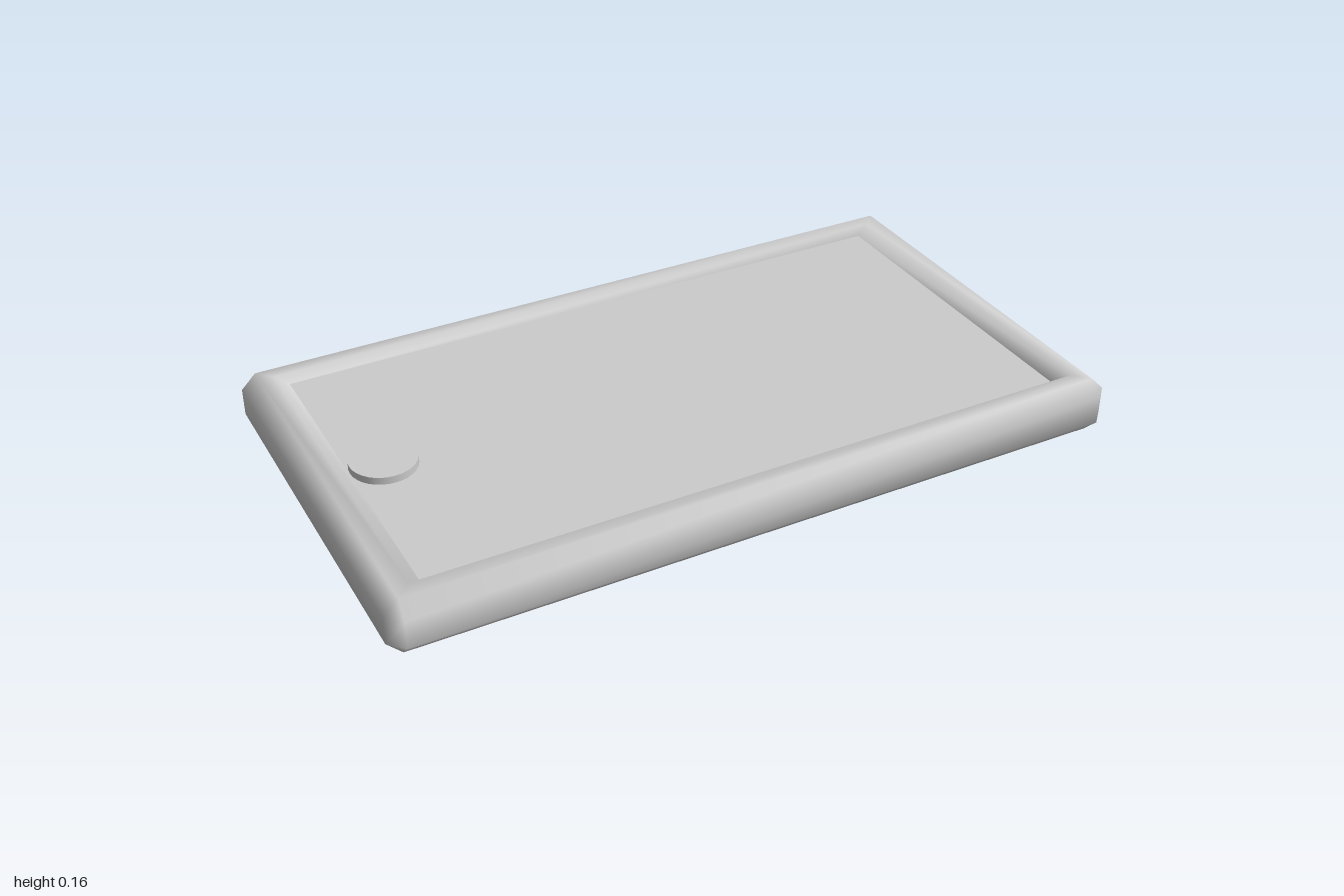
import * as THREE from 'three';
import { mergeVertices } from 'three/addons/utils/BufferGeometryUtils.js';

const material = new THREE.MeshStandardMaterial({ color: 0xcccccc });
const FLOOR_Y = 0.128;

// Rectangle with cut corners, counter-clockwise from above
function loop({ x, z, y, cut }) {
  const a = x - cut, b = z - cut;
  return [[x, -b], [a, -z], [-a, -z], [-x, -b], [-x, b], [-a, z], [a, z], [x, b]]
    .map(([px, pz]) => [px, y, pz]);
}

// Skins the loops in order and closes the first with a flat cap
function loft(sections) {
  const loops = sections.map(loop);
  const n = loops[0].length;
  const index = [];
  for (let i = 0; i < loops.length - 1; i++) {
    for (let j = 0; j < n; j++) {
      const k = (j + 1) % n;
      const a = i * n + j, b = i * n + k, c = b + n, d = a + n;
      index.push(a, b, c, a, c, d);
    }
  }
  for (let j = 1; j < n - 1; j++) index.push(0, j + 1, j);
  let geometry = new THREE.BufferGeometry();
  geometry.setAttribute('position', new THREE.Float32BufferAttribute(loops.flat(2), 3));
  geometry.setIndex(index);
  geometry = mergeVertices(geometry);
  geometry.computeVertexNormals();
  return geometry;
}

function addPart(group, name, geometry, x = 0, y = 0, z = 0) {
  const mesh = new THREE.Mesh(geometry, material);
  mesh.name = name;
  mesh.position.set(x, y, z);
  group.add(mesh);
}

export function createModel() {
  const group = new THREE.Group();
  group.name = 'tablet';

  // Bevelled case with a raised rim sloping in to the screen
  addPart(group, 'case', loft([
    { x: 0.96, z: 0.525, y: 0, cut: 0 },
    { x: 1, z: 0.563, y: 0.04, cut: 0.038 },
    { x: 1, z: 0.563, y: 0.115, cut: 0.038 },
    { x: 0.96, z: 0.525, y: 0.155, cut: 0 },
    { x: 0.92, z: 0.485, y: 0.155, cut: 0 },
    { x: 0.885, z: 0.474, y: FLOOR_Y, cut: 0 },
  ]));

  // Recessed flat screen
  const screen = new THREE.PlaneGeometry(1.77, 0.948).rotateX(-Math.PI / 2);
  addPart(group, 'screen', screen, 0, FLOOR_Y, 0);

  // Round button near the left end of the screen
  const button = new THREE.CylinderGeometry(0.087, 0.087, 0.02, 32);
  addPart(group, 'button', button, -0.796, FLOOR_Y + 0.01, -0.012);

  return group;
}
